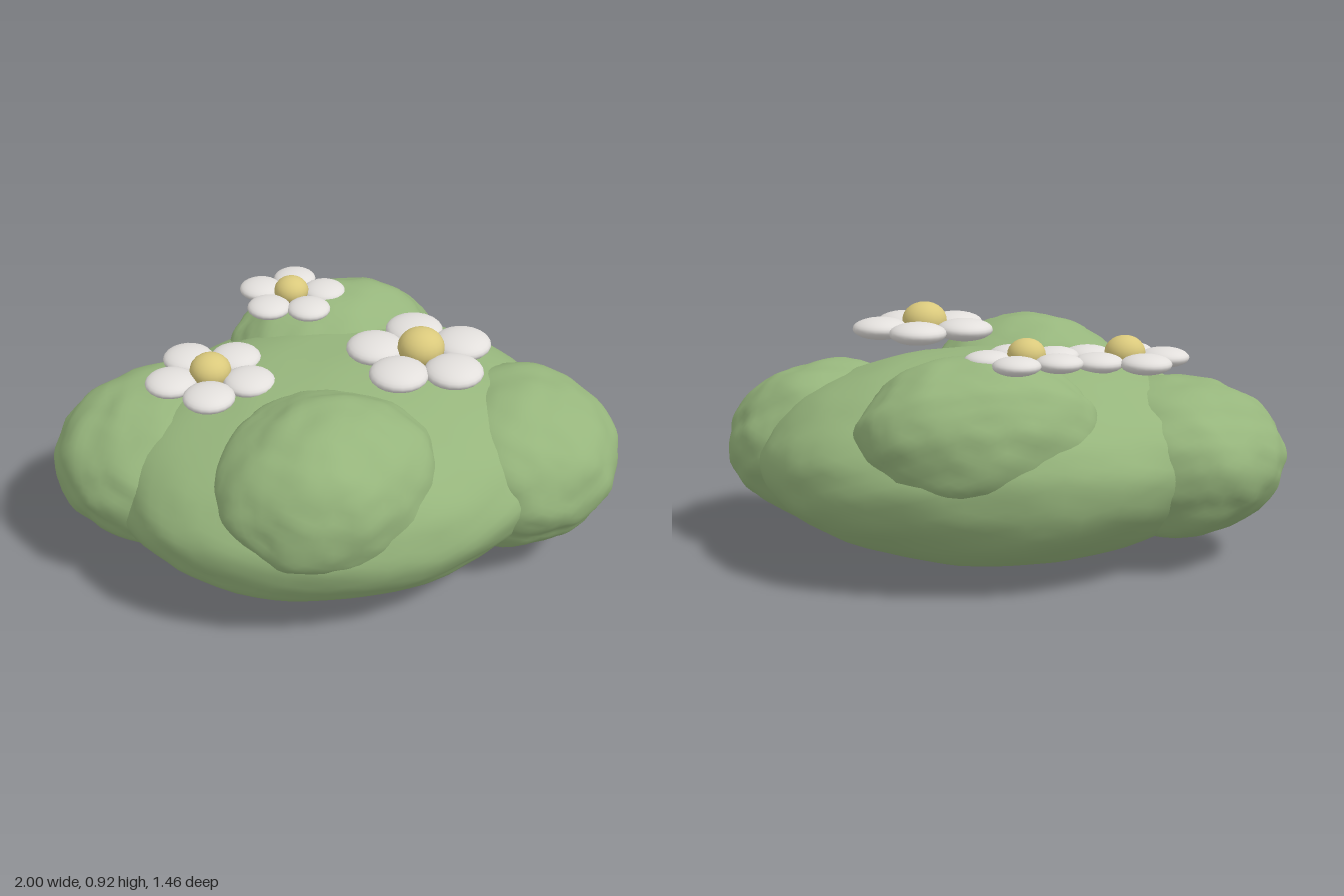
import * as THREE from 'three';
import { mergeVertices } from 'three/addons/utils/BufferGeometryUtils.js';

const leaf = new THREE.MeshStandardMaterial({ name: 'leaf green', color: 0x96b57c });
const white = new THREE.MeshStandardMaterial({ name: 'petal white', color: 0xe2dfdc });
const yellow = new THREE.MeshStandardMaterial({ name: 'pollen yellow', color: 0xdac97c });

// Smooth lumps: layered sine waves over a unit direction, about -1 to 1
function lumps(p, seed) {
  let sum = 0, amp = 0.5, f = 4;
  for (let i = 0; i < 3; i++) {
    const s = seed * 1.7 + i * 2.3;
    sum += amp * Math.sin(f * p.x + s + 1.3 * Math.sin(f * p.y + s))
      * Math.cos(f * p.z - s + 1.1 * Math.sin(f * p.x - s));
    sum += amp * 0.5 * Math.sin(f * 1.4 * p.y + 2 * s + f * p.z);
    amp *= 0.6;
    f *= 1.9;
  }
  return sum;
}

// Lumpy ellipsoid with shared vertices for smooth shading
function blob(name, center, radii, seed, bump) {
  let geo = new THREE.IcosahedronGeometry(1, 13);
  geo.deleteAttribute('normal');
  geo.deleteAttribute('uv');
  geo = mergeVertices(geo, 1e-4);
  const pos = geo.attributes.position;
  const p = new THREE.Vector3();
  for (let i = 0; i < pos.count; i++) {
    p.fromBufferAttribute(pos, i).normalize();
    p.multiplyScalar(1 + bump * lumps(p, seed));
    pos.setXYZ(i, p.x * radii[0], p.y * radii[1], p.z * radii[2]);
  }
  geo.computeVertexNormals();
  const mesh = new THREE.Mesh(geo, leaf);
  mesh.name = name;
  mesh.position.set(...center);
  return mesh;
}

function ellipsoid(name, material, x, y, z, rx, ry) {
  const mesh = new THREE.Mesh(new THREE.SphereGeometry(1, 20, 14), material);
  mesh.name = name;
  mesh.position.set(x, y, z);
  mesh.scale.set(rx, ry, rx);
  return mesh;
}

// Five flat round petals around a domed heart
function flower(name, center, size, turn) {
  const g = new THREE.Group();
  g.name = name;
  g.position.set(...center);
  for (let i = 0; i < 5; i++) {
    const a = turn + i * Math.PI * 2 / 5;
    g.add(ellipsoid('petal', white, 0.165 * size * Math.cos(a), 0, 0.165 * size * Math.sin(a),
      0.105 * size, 0.041 * size));
  }
  g.add(ellipsoid('flowerHeart', yellow, 0, 0.025 * size, 0, 0.084 * size, 0.07 * size));
  return g;
}

export function createModel() {
  const model = new THREE.Group();
  model.name = 'floweringBush';

  // Foliage: one broad mound with four lobes
  model.add(
    blob('mainMound', [0.02, 0.385, 0], [0.875, 0.38, 0.725], 1, 0.025),
    blob('frontLobe', [-0.18, 0.53, 0.37], [0.41, 0.31, 0.35], 2, 0.045),
    blob('frontLeftLobe', [0.595, 0.39, 0.295], [0.4, 0.305, 0.39], 3, 0.045),
    blob('backLobe', [0.18, 0.54, -0.42], [0.43, 0.28, 0.305], 4, 0.045),
    blob('backRightLobe', [-0.58, 0.39, -0.22], [0.41, 0.295, 0.4], 5, 0.045),
  );

  // Flowers resting on top
  model.add(
    flower('largeFlower', [0.268, 0.835, 0.165], 1, 0),
    flower('mediumFlower', [-0.422, 0.742, -0.135], 0.89, -0.56),
    flower('smallFlower', [0.025, 0.808, -0.46], 0.78, 0.17),
  );
  return model;
}
